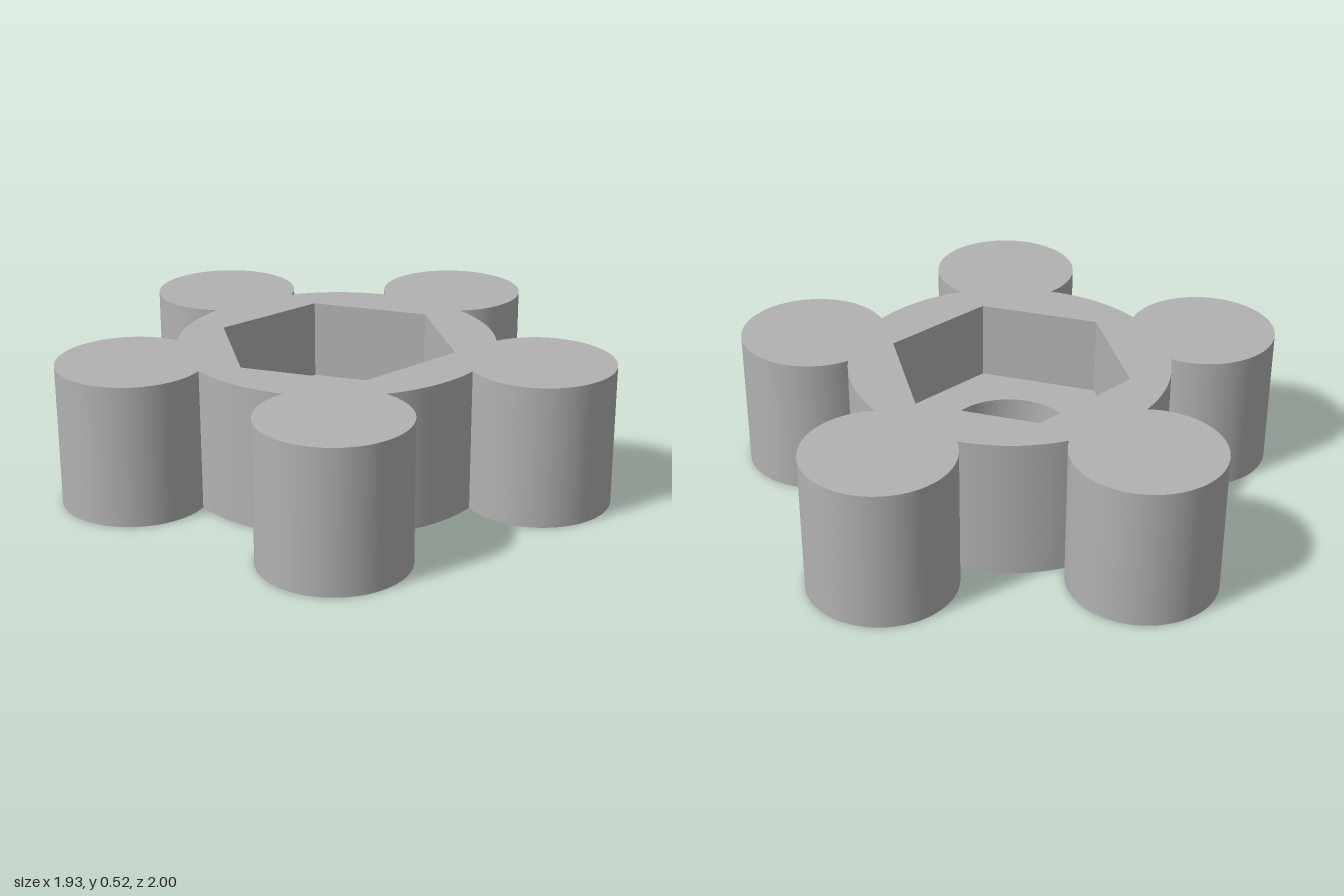
import * as THREE from 'three';
import { toCreasedNormals } from 'three/addons/utils/BufferGeometryUtils.js';

const HEIGHT = 0.523, FLOOR = 0.225, CENTER_X = -0.074;
const HUB_R = 0.587, LOBE_R = 0.27, LOBE_DIST = 0.767, LOBES = 5;
const HEX_R = 0.45, BORE_R = 0.235;

// Points along an arc, leaving out the last one so arcs can be chained
function arc(cx, cy, r, from, to, n) {
  return Array.from({ length: n }, (_, i) => {
    const t = from + ((to - from) * i) / n;
    return new THREE.Vector2(cx + r * Math.cos(t), cy + r * Math.sin(t));
  });
}

// Hub circle joined with five round lobes, counterclockwise
function outline() {
  const a = Math.acos((HUB_R ** 2 + LOBE_DIST ** 2 - LOBE_R ** 2) / (2 * HUB_R * LOBE_DIST));
  const b = Math.atan2(HUB_R * Math.sin(a), HUB_R * Math.cos(a) - LOBE_DIST);
  const step = (Math.PI * 2) / LOBES;
  const pts = [];
  for (let i = 0; i < LOBES; i++) {
    const t = i * step;
    pts.push(...arc(LOBE_DIST * Math.cos(t), LOBE_DIST * Math.sin(t), LOBE_R, t - b, t + b, 56));
    pts.push(...arc(0, 0, HUB_R, t + a, t + step - a, 16));
  }
  return pts;
}

// Flat face with a hole, facing up or down
function cap(pts, hole, y, up) {
  const shape = new THREE.Shape(pts);
  shape.holes.push(new THREE.Path(hole));
  const geo = new THREE.ShapeGeometry(shape);
  geo.rotateX(up ? -Math.PI / 2 : Math.PI / 2);
  return geo.translate(0, y, 0);
}

// Upright wall around a closed loop; inward walls face the axis
function wall(loop, y0, y1, inward) {
  const pts = inward ? [...loop].reverse() : loop;
  const pos = [];
  pts.forEach((p, i) => {
    const q = pts[(i + 1) % pts.length];
    pos.push(p.x, y0, -p.y, q.x, y0, -q.y, q.x, y1, -q.y);
    pos.push(p.x, y0, -p.y, q.x, y1, -q.y, p.x, y1, -p.y);
  });
  const geo = new THREE.BufferGeometry();
  geo.setAttribute('position', new THREE.Float32BufferAttribute(pos, 3));
  return toCreasedNormals(geo, 0.5);
}

export function createModel() {
  const grey = new THREE.MeshStandardMaterial({ color: 0xb2b2b2 });
  grey.name = 'grey';
  const group = new THREE.Group();
  group.name = 'lobedKnob';
  const add = (name, geo) => {
    const mesh = new THREE.Mesh(geo, grey);
    mesh.name = name;
    mesh.position.x = CENTER_X;
    group.add(mesh);
  };

  const body = outline();
  const hex = arc(0, 0, HEX_R, 0, Math.PI * 2, 6);
  const bore = arc(0, 0, BORE_R, 0, Math.PI * 2, 72);

  // Outer body
  add('outerWall', wall(body, 0, HEIGHT, false));
  add('topFace', cap(body, hex, HEIGHT, true));
  add('bottomFace', cap(body, bore, 0, false));

  // Hexagonal nut pocket and through bore
  add('hexPocketWall', wall(hex, FLOOR, HEIGHT, true));
  add('hexPocketFloor', cap(hex, bore, FLOOR, true));
  add('boreWall', wall(bore, 0, FLOOR, true));

  return group;
}
